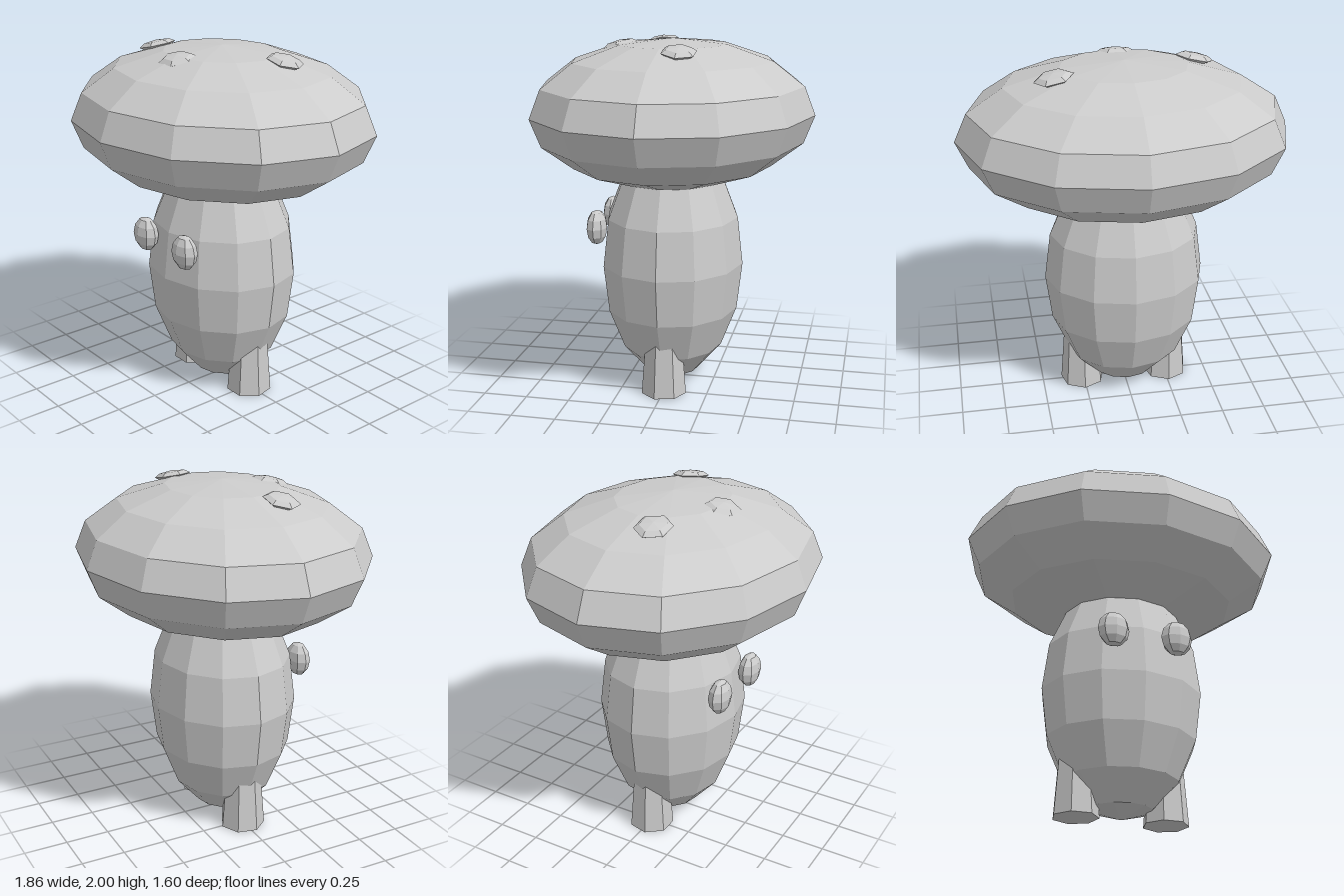
import * as THREE from 'three';

const material = new THREE.MeshStandardMaterial({ color: 0xcccccc, flatShading: true });

// Faceted ellipsoid with the given radii and centre
function ellipsoid(name, radii, centre, segments, rows) {
  const geometry = new THREE.SphereGeometry(1, segments, rows).scale(...radii);
  const mesh = new THREE.Mesh(geometry, material);
  mesh.name = name;
  mesh.position.set(...centre);
  return mesh;
}

export function createModel() {
  const mushroom = new THREE.Group();
  mushroom.name = 'mushroomCreature';

  // Stem body and wide cap
  const capRadii = [0.93, 0.41, 0.8];
  const capY = 1.59;
  mushroom.add(ellipsoid('body', [0.465, 0.71, 0.41], [0, 0.72, 0], 12, 8));
  mushroom.add(ellipsoid('cap', capRadii, [0, capY, 0], 12, 8));

  // Eyes and tapered seven-sided legs, one on each side
  for (const [side, label] of [[1, 'left'], [-1, 'right']]) {
    mushroom.add(ellipsoid(label + 'Eye', [0.09, 0.1, 0.06], [side * 0.182, 0.938, 0.405], 8, 6));

    const leg = new THREE.Mesh(new THREE.CylinderGeometry(0.1, 0.13, 0.4, 7), material);
    leg.name = label + 'Leg';
    leg.position.set(side * 0.258, 0.2, 0);
    leg.rotation.y = Math.PI;
    mushroom.add(leg);
  }

  // Flat spots lying along the slope of the cap
  const up = new THREE.Vector3(0, 1, 0);
  const spots = [[-0.42, 1.952, 0.13], [0.393, 1.958, -0.113], [0, 1.958, 0.3]];
  spots.forEach(([x, y, z], i) => {
    const spot = ellipsoid('capSpot' + (i + 1), [0.11, 0.027, 0.1], [x, y, z], 6, 4);
    const normal = new THREE.Vector3(
      x / capRadii[0] ** 2, (y - capY) / capRadii[1] ** 2, z / capRadii[2] ** 2).normalize();
    spot.quaternion.setFromUnitVectors(up, normal);
    mushroom.add(spot);
  });

  return mushroom;
}
